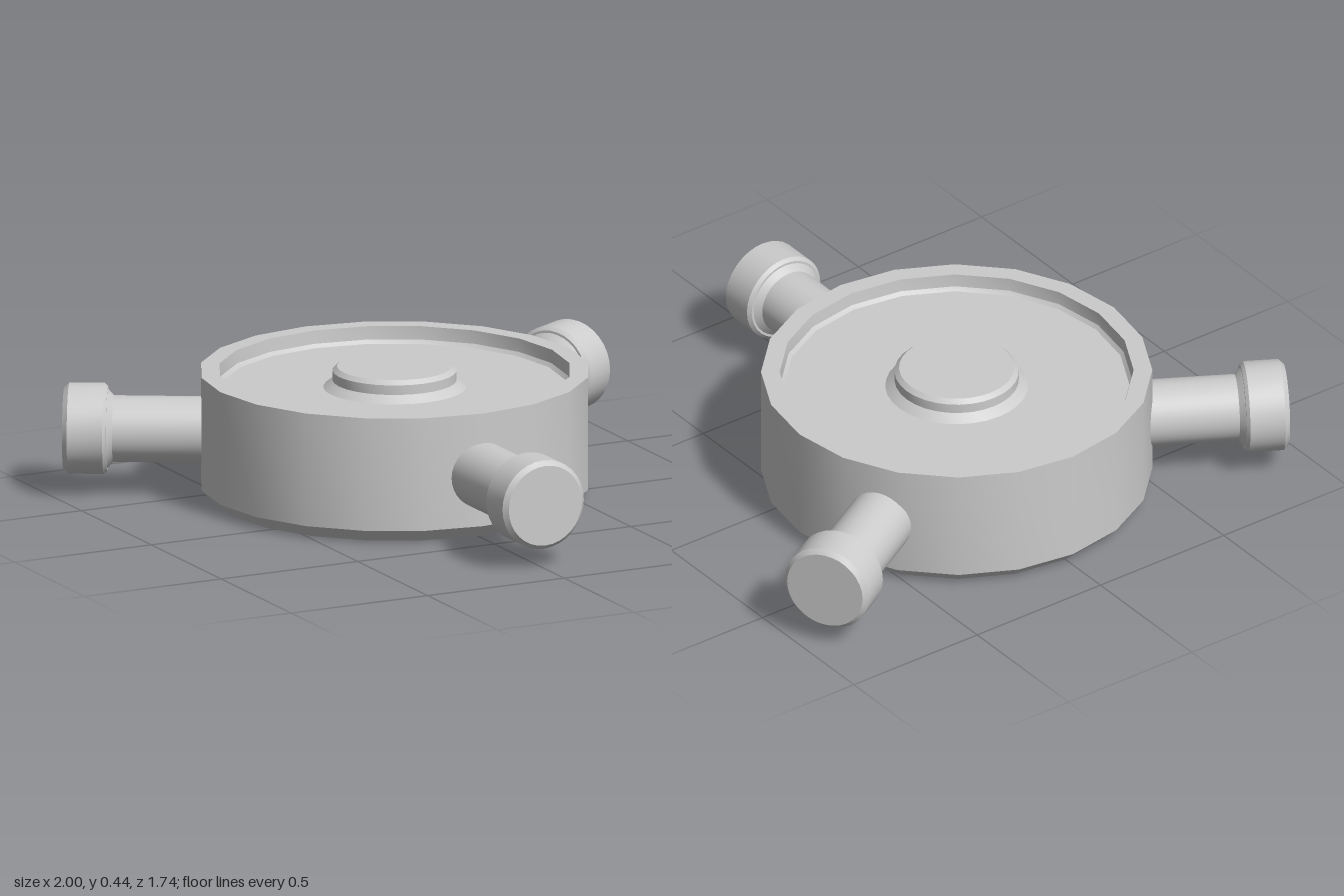
import * as THREE from 'three';
import { toCreasedNormals } from 'three/addons/utils/BufferGeometryUtils.js';

const material = new THREE.MeshStandardMaterial({ color: 0xcccccc });

// Turned part from [radius, height] pairs, listed from the bottom up
function turned(name, profile, sides) {
  const points = profile.map(([r, y]) => new THREE.Vector2(r, y));
  const geometry = toCreasedNormals(new THREE.LatheGeometry(points, sides), 0.5);
  const mesh = new THREE.Mesh(geometry, material);
  mesh.name = name;
  return mesh;
}

export function createModel() {
  const model = new THREE.Group();
  model.name = 'threeArmHub';

  // Round body with chamfered base and a shallow recess inside the rim
  model.add(turned('body', [
    [0, 0], [0.595, 0], [0.638, 0.043], [0.638, 0.422],
    [0.577, 0.422], [0.574, 0.378], [0.563, 0.366], [0, 0.366],
  ], 20));

  // Raised centre button with a flared foot
  model.add(turned('centreButton', [
    [0.234, 0.365], [0.203, 0.39], [0.203, 0.422], [0.188, 0.436], [0, 0.436],
  ], 32));

  // Three arms, each a round rod ending in a chamfered cap
  for (let i = 0; i < 3; i++) {
    const arm = new THREE.Group();
    arm.name = 'arm' + (i + 1);
    const rod = turned('rod', [[0, 0.52], [0.109, 0.52], [0.109, 0.93]], 32);
    const cap = turned('cap', [
      [0.109, 0.917], [0.13, 0.936], [0.138, 0.936], [0.149, 0.947],
      [0.149, 1.063], [0.134, 1.079], [0, 1.079],
    ], 32);
    for (const part of [rod, cap]) {
      part.rotation.x = Math.PI / 2;
      arm.add(part);
    }
    arm.position.y = 0.213;
    arm.rotation.y = (i * Math.PI * 2) / 3;
    model.add(arm);
  }

  // Shift back so the whole outline is centred
  model.children.forEach((part) => { part.position.z = -0.213; });
  return model;
}
